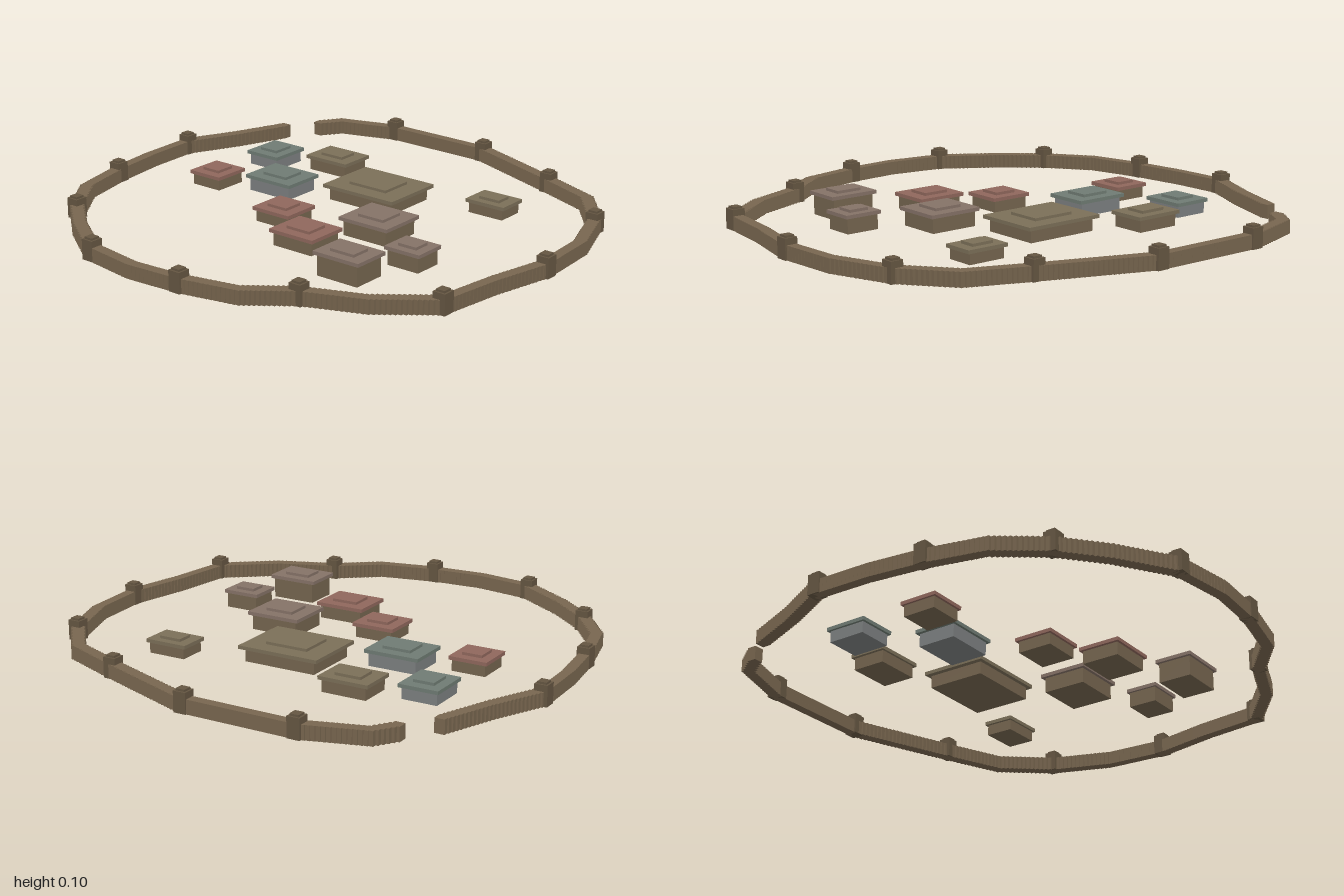
import * as THREE from 'three';

const material = (color) => new THREE.MeshStandardMaterial({ color, flatShading: true });
const mats = {
  wall: material(0x78664f), tower: material(0x655642),
  timber: material(0x75654f), stone: material(0x7c7f80),
  tan: material(0x7b6f58), green: material(0x6f7b73),
  red: material(0x8f675c), clay: material(0x857267),
};

// Box standing with its underside at y
function block(name, mat, w, h, d, x, y, z) {
  const mesh = new THREE.Mesh(new THREE.BoxGeometry(w, h, d), mat);
  mesh.name = name;
  mesh.position.set(x, y + h / 2, z);
  return mesh;
}

// Wall course as x, z corners, from one side of the gate round to the other
const course = [
  [-0.7, -0.78], [-0.645, -0.86], [-0.405, -0.935], [0.06, -0.93], [0.485, -0.77],
  [0.72, -0.675], [0.87, -0.49], [0.955, -0.25], [0.97, 0], [0.915, 0.245],
  [0.88, 0.495], [0.68, 0.65], [0.455, 0.74], [0.29, 0.865], [0.06, 0.915],
  [-0.155, 0.93], [-0.39, 0.895], [-0.6, 0.757], [-0.755, 0.623], [-0.885, 0.445],
  [-0.94, 0.217], [-0.968, 0], [-0.975, -0.227], [-0.877, -0.435], [-0.797, -0.645],
];
const towerCorners = [2, 3, 4, 6, 8, 10, 12, 14, 16, 18, 20, 22];

// Rampart of closely set square posts
function createRampart() {
  const group = new THREE.Group();
  group.name = 'rampart';
  for (let i = 0; i < course.length - 1; i++) {
    const [x0, z0] = course[i], [x1, z1] = course[i + 1];
    const steps = Math.max(1, Math.round(Math.hypot(x1 - x0, z1 - z0) / 0.018));
    const last = i === course.length - 2 ? steps : steps - 1;
    for (let s = 0; s <= last; s++) {
      const t = s / steps;
      group.add(block('wallPost', mats.wall, 0.04, 0.055, 0.04,
        x0 + (x1 - x0) * t, 0, z0 + (z1 - z0) * t));
    }
  }
  return group;
}

function createTower([x, z]) {
  const group = new THREE.Group();
  group.name = 'watchTower';
  group.position.set(x, 0, z);
  group.add(block('towerBody', mats.tower, 0.051, 0.08, 0.051, 0, 0, 0));
  group.add(block('towerCap', mats.tower, 0.036, 0.008, 0.036, 0, 0.08, 0));
  return group;
}

// Houses: x, z, roof width, roof depth, eave height, roof colour
const houses = [
  [-0.595, -0.358, 0.16, 0.175, 0.045, 'green'],
  [-0.337, -0.45, 0.205, 0.155, 0.048, 'tan'],
  [0.02, -0.262, 0.34, 0.27, 0.05, 'tan'],
  [0.457, -0.425, 0.175, 0.128, 0.042, 'tan'],
  [-0.348, -0.11, 0.225, 0.18, 0.052, 'green'],
  [-0.607, -0.012, 0.155, 0.155, 0.045, 'red'],
  [-0.115, 0.152, 0.177, 0.16, 0.045, 'red'],
  [0.26, 0.045, 0.225, 0.2, 0.06, 'clay'],
  [0.117, 0.3, 0.205, 0.175, 0.052, 'red'],
  [0.54, 0.21, 0.155, 0.133, 0.06, 'clay'],
  [0.43, 0.438, 0.205, 0.155, 0.08, 'clay'],
];

function createHouse([x, z, w, d, eave, colour]) {
  const group = new THREE.Group();
  group.name = 'house';
  group.position.set(x, 0, z);
  const walls = colour === 'green' ? mats.stone : mats.timber;
  group.add(block('houseWalls', walls, w * 0.88, eave, d * 0.88, 0, 0, 0));
  group.add(block('roofSlab', mats[colour], w, 0.014, d, 0, eave, 0));
  group.add(block('roofTop', mats[colour], w * 0.52, 0.011, d * 0.52, 0, eave + 0.014, 0));
  return group;
}

export function createModel() {
  const model = new THREE.Group();
  model.name = 'walledVillage';
  model.add(createRampart());
  for (const i of towerCorners) model.add(createTower(course[i]));
  for (const house of houses) model.add(createHouse(house));
  return model;
}
